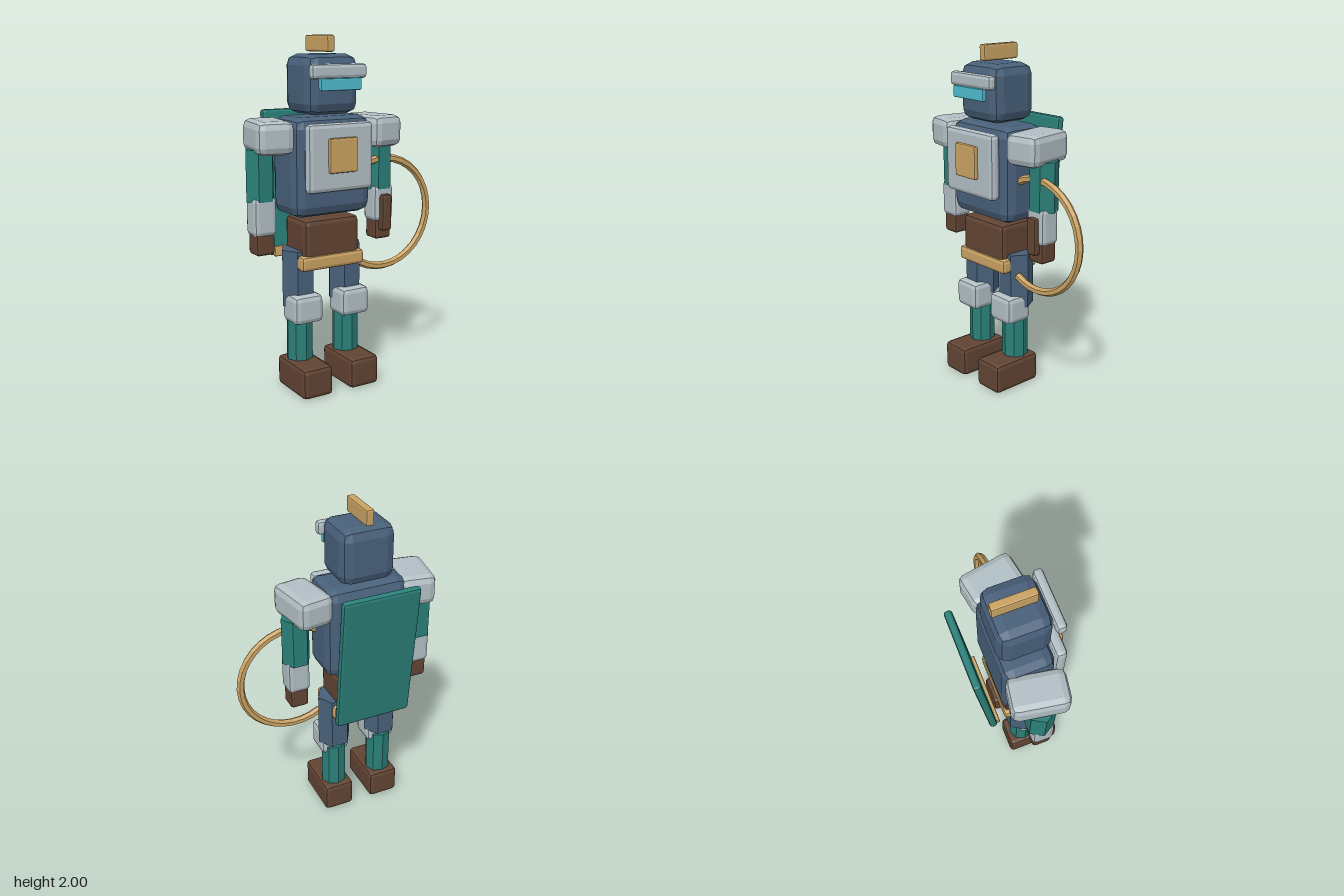
import * as THREE from 'three';
import { RoundedBoxGeometry } from 'three/addons/geometries/RoundedBoxGeometry.js';

const paint = (name, color) => {
  const m = new THREE.MeshStandardMaterial({ color });
  m.name = name;
  return m;
};

export function createModel() {
  const navy = paint('navy', 0x48607a);
  const silver = paint('silver', 0xb2bfc5);
  const teal = paint('teal', 0x2a7f78);
  const brown = paint('brown', 0x614433);
  const gold = paint('gold', 0xcaa363);
  const cyan = paint('cyan', 0x4fbdcf);

  const CX = -0.137; // middle of the body
  const model = new THREE.Group();
  model.name = 'armouredArcher';

  const add = (name, geo, mat, x, y, z, parent = model) => {
    const mesh = new THREE.Mesh(geo, mat);
    mesh.name = name;
    mesh.position.set(x, y, z);
    parent.add(mesh);
    return mesh;
  };

  // Bevelled block with faceted edges
  const block = (name, mat, [x, y, z], [w, h, d], r, parent) => {
    const geo = new RoundedBoxGeometry(w, h, d, 1, r);
    geo.computeVertexNormals();
    return add(name, geo, mat, x, y, z, parent);
  };

  // Faceted upright limb from y0 to y1
  const limb = (name, mat, x, z, y0, y1, r, sides, turn, parent) => {
    const geo = new THREE.CylinderGeometry(r, r, y1 - y0, sides).rotateY(turn).toNonIndexed();
    geo.computeVertexNormals();
    return add(name, geo, mat, x, (y0 + y1) / 2, z, parent);
  };

  // Head
  block('head', navy, [CX, 1.737, 0.037], [0.325, 0.325, 0.295], 0.06);
  block('brow', silver, [CX, 1.81, 0.213], [0.345, 0.08, 0.054], 0.02);
  block('visor', cyan, [CX, 1.742, 0.235], [0.255, 0.065, 0.03], 0.006);
  block('crest', gold, [CX, 1.955, 0.022], [0.048, 0.09, 0.245], 0.01);

  // Torso
  block('torso', navy, [CX, 1.29, 0.035], [0.495, 0.55, 0.29], 0.06);
  block('chestPlate', silver, [CX, 1.35, 0.222], [0.41, 0.375, 0.065], 0.025);
  block('chestEmblem', gold, [CX, 1.365, 0.265], [0.175, 0.19, 0.03], 0.01);
  block('pelvis', brown, [CX, 0.87, 0.038], [0.355, 0.26, 0.24], 0.03);
  block('belt', gold, [CX, 0.755, 0.04], [0.405, 0.085, 0.262], 0.02);

  // Arms and legs, mirrored about the body
  for (const s of [1, -1]) {
    const arm = new THREE.Group();
    arm.name = s > 0 ? 'leftArm' : 'rightArm';
    arm.position.x = CX + s * 0.386;
    model.add(arm);
    const shoulder = block('shoulder', silver, [-s * 0.053, 1.465, 0.035], [0.212, 0.18, 0.318], 0.042, arm);
    shoulder.rotation.y = s * 0.17;
    limb('upperArm', teal, 0, 0.032, 1.115, 1.4, 0.083, 6, Math.PI / 6, arm);
    block('gauntlet', silver, [0, 1.035, 0.042], [0.134, 0.215, 0.125], 0.025, arm);
    block('hand', brown, [0, 0.885, 0.042], [0.112, 0.13, 0.11], 0.018, arm);

    const leg = new THREE.Group();
    leg.name = s > 0 ? 'leftLeg' : 'rightLeg';
    leg.position.x = CX + s * 0.154;
    model.add(leg);
    limb('thigh', navy, 0, 0.03, 0.495, 0.82, 0.101, 6, Math.PI / 6, leg);
    block('kneeGuard', silver, [0, 0.488, 0.082], [0.182, 0.165, 0.17], 0.03, leg);
    limb('shin', teal, 0, 0.041, 0.15, 0.458, 0.077, 8, 0, leg);
    block('boot', brown, [0, 0.088, 0.101], [0.19, 0.176, 0.322], 0.025, leg);
  }

  // Bow held in the left hand
  const bow = new THREE.Group();
  bow.name = 'bow';
  bow.position.set(0.25, 0.977, 0.081);
  model.add(bow);
  const sweep = Math.PI * 4 / 3;
  const arc = new THREE.TorusGeometry(0.323, 0.023, 6, 22, sweep).rotateZ(-sweep / 2).toNonIndexed();
  arc.computeVertexNormals();
  add('bowArc', arc, gold, 0, 0, 0, bow);
  block('bowGrip', brown, [0, 0.005, 0.02], [0.068, 0.215, 0.07], 0.015, bow);

  // Leaning back panel with its lower trim
  const panel = block('backPanel', teal, [CX, 1.163, -0.211], [0.462, 0.845, 0.046], 0.016);
  panel.rotation.x = -0.1;
  const trim = block('backPanelTrim', gold, [CX, 0.77, -0.144], [0.432, 0.06, 0.03], 0.008);
  trim.rotation.x = -0.1;

  return model;
}
